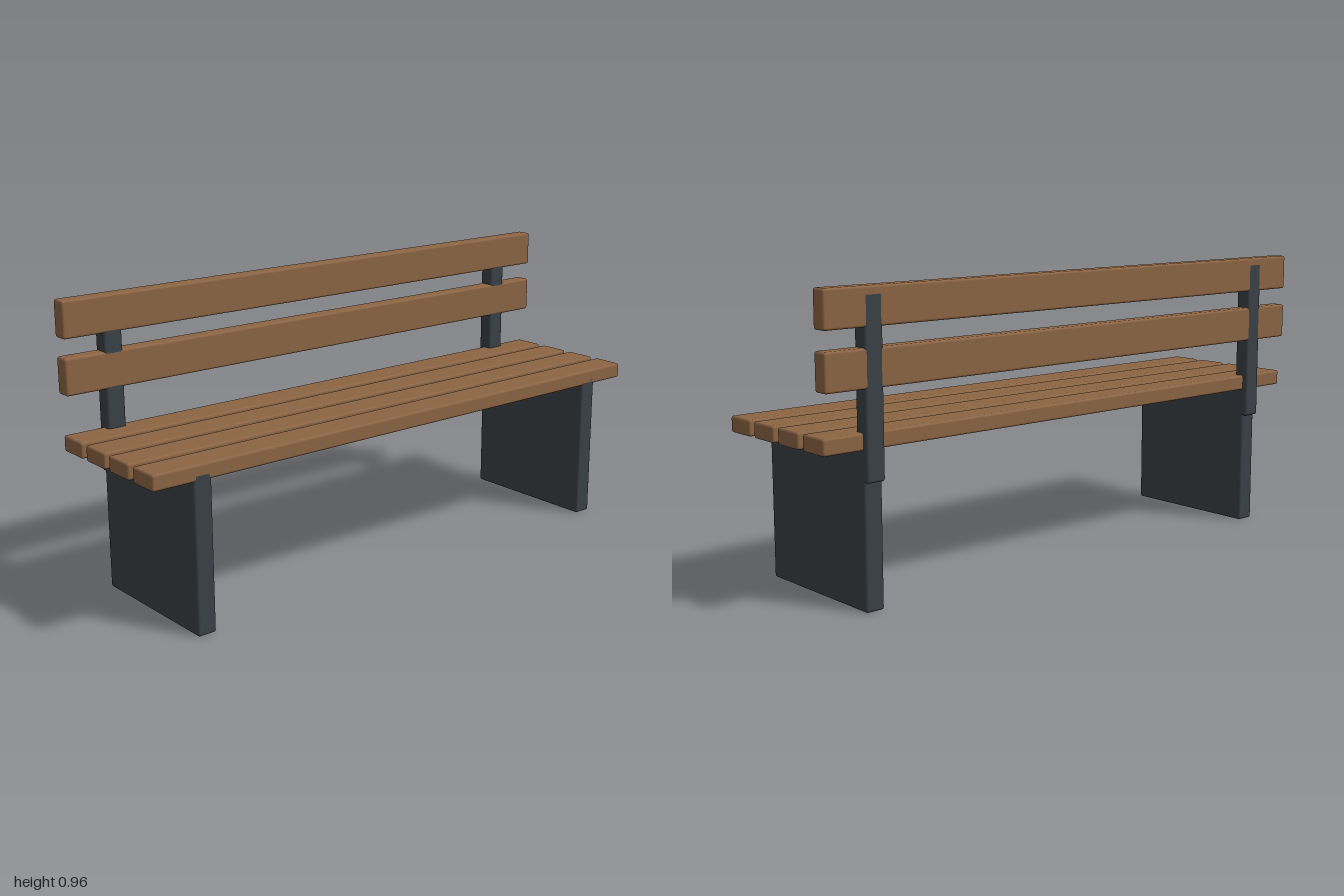
import * as THREE from 'three';
import { RoundedBoxGeometry } from 'three/addons/geometries/RoundedBoxGeometry.js';

export function createModel() {
  const bench = new THREE.Group();
  bench.name = 'bench';

  const wood = new THREE.MeshStandardMaterial({ color: 0x8b6544 });
  wood.name = 'brown wood';
  const metal = new THREE.MeshStandardMaterial({ color: 0x3a4046 });
  metal.name = 'dark metal';

  // Box with softly rounded edges, given by its size and centre
  function block(name, material, size, centre, radius = 0.008) {
    const mesh = new THREE.Mesh(new RoundedBoxGeometry(...size, 2, radius), material);
    mesh.name = name;
    mesh.position.set(...centre);
    bench.add(mesh);
  }

  // Four seat slats, front to back
  for (let i = 0; i < 4; i++) {
    block('seatSlat', wood, [2, 0.052, 0.108], [0, 0.511, 0.208 - i * 0.133]);
  }

  // Two backrest slats
  for (const y of [0.724, 0.901]) {
    block('backSlat', wood, [2, 0.118, 0.053], [0, y, -0.235]);
  }

  // Solid side legs and the posts that carry the backrest
  for (const side of [-1, 1]) {
    const x = side * 0.831;
    block('legPanel', metal, [0.064, 0.51, 0.507], [x, 0.255, 0.0085]);
    block('backPost', metal, [0.064, 0.55, 0.053], [x, 0.665, -0.2355]);
  }

  return bench;
}
